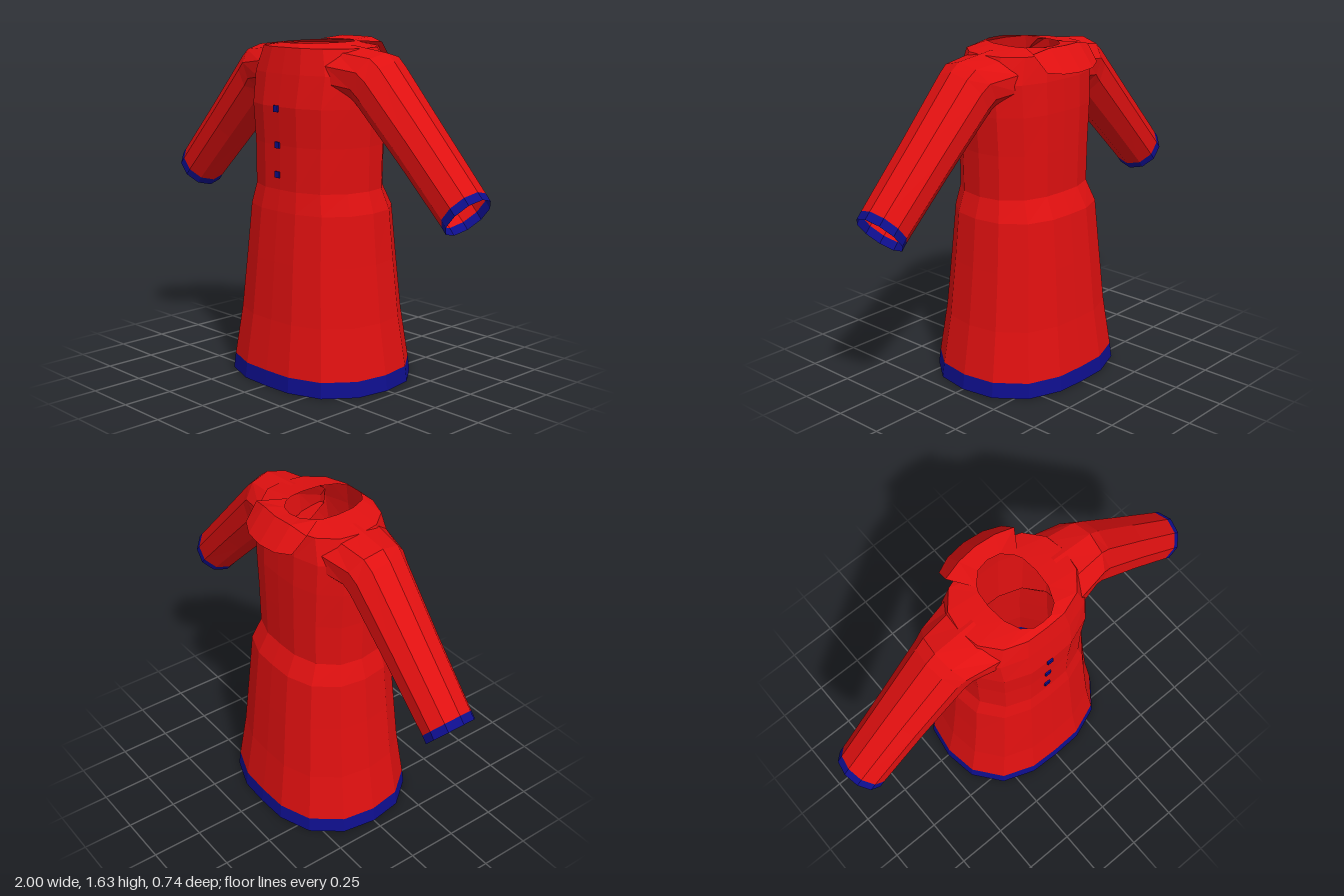
import * as THREE from 'three';

const V = (x, y, z) => new THREE.Vector3(x, y, z);

function material(name, color) {
  const m = new THREE.MeshStandardMaterial({ color, flatShading: true, side: THREE.DoubleSide });
  m.name = name;
  return m;
}

// Skin a surface over a list of point rows; closed rows wrap round
function loft(rows, closed = true) {
  const pos = [];
  const n = rows[0].length;
  for (let r = 0; r + 1 < rows.length; r++) {
    for (let i = 0; i < (closed ? n : n - 1); i++) {
      const j = (i + 1) % n;
      const [a, b, c, d] = [rows[r][i], rows[r][j], rows[r + 1][j], rows[r + 1][i]];
      for (const p of [a, b, c, a, c, d]) pos.push(p.x, p.y, p.z);
    }
  }
  const g = new THREE.BufferGeometry();
  g.setAttribute('position', new THREE.Float32BufferAttribute(pos, 3));
  g.computeVertexNormals();
  return g;
}

// Sixteen-sided horizontal section, flatter at the front and back than an ellipse
const quarter = [[0, 1], [0.34, 0.985], [0.7, 0.82], [0.94, 0.45], [1, 0]];
const half = [...quarter, ...quarter.slice(0, 4).reverse().map(([x, z]) => [x, -z])];
const section = [...half, ...half.slice(1, 8).reverse().map(([x, z]) => [-x, z])];

function bodyRing([y, hx, front, back]) {
  return section.map(([x, z]) => V(x * hx, y, z * (z > 0 ? front : back)));
}

// Ring between a top and a bottom point, s = +1 left, -1 right
function sleeveRing([tx, ty, bx, by, zc, rz], s) {
  const ring = [];
  for (let i = 0; i < 10; i++) {
    const a = (i / 10) * Math.PI * 2;
    const k = Math.cos(a);
    ring.push(V(
      s * ((tx + bx) / 2 + (k * (tx - bx)) / 2),
      (ty + by) / 2 + (k * (ty - by)) / 2,
      zc + rz * Math.sin(a) * 1.05));
  }
  return s < 0 ? ring.reverse() : ring;
}

export function createModel() {
  const model = new THREE.Group();
  model.name = 'coat';
  const red = material('red cloth', 0xe01010);
  const navy = material('navy trim', 0x0e0e8c);
  const add = (name, geometry, mat) => {
    const mesh = new THREE.Mesh(geometry, mat);
    mesh.name = name;
    model.add(mesh);
    return mesh;
  };

  // Skirt, waist, chest and shoulders up to the neck opening: y, half width, front, back
  const profile = [
    [0, 0.45, 0.37, 0.37],
    [0.075, 0.44, 0.362, 0.362],
    [0.32, 0.4, 0.33, 0.33],
    [0.6, 0.37, 0.307, 0.307],
    [0.84, 0.35, 0.285, 0.285],
    [0.94, 0.318, 0.268, 0.235],
    [1.15, 0.322, 0.267, 0.238],
    [1.33, 0.335, 0.275, 0.24],
    [1.48, 0.34, 0.25, 0.235],
    [1.6, 0.29, 0.225, 0.22],
    [1.62, 0.13, 0.2, 0.17],
  ].map(bodyRing);
  add('hemBand', loft(profile.slice(0, 2)), navy);
  add('body', loft(profile.slice(1)), red);

  // Sleeves and cuffs: top x, y, bottom x, y, centre z, half depth
  const sleeve = [
    [0.22, 1.612, 0.24, 1.36, 0.01, 0.185],
    [0.43, 1.588, 0.31, 1.345, 0.01, 0.152],
    [0.48, 1.55, 0.345, 1.305, 0.01, 0.142],
    [0.72, 1.295, 0.575, 1.09, 0.01, 0.128],
    [0.972, 1.03, 0.822, 0.85, 0.012, 0.118],
    [1, 1, 0.848, 0.82, 0.012, 0.118],
  ];
  for (const [side, s] of [['left', 1], ['right', -1]]) {
    const rings = sleeve.map((r) => sleeveRing(r, s));
    add(side + 'Sleeve', loft(rings.slice(0, 5)), red);
    add(side + 'Cuff', loft(rings.slice(4)), navy);
  }

  // Collar flap turned down behind the neck: rows of x, y, z for one half
  const collar = [
    [[0, 1.622, -0.168], [0.06, 1.622, -0.155], [0.115, 1.622, -0.1]],
    [[0, 1.635, -0.245], [0.1, 1.635, -0.235], [0.19, 1.615, -0.215]],
    [[0, 1.525, -0.335], [0.1, 1.528, -0.322], [0.175, 1.54, -0.285]],
  ].map((row) => [
    ...row.slice(1).reverse().map(([x, y, z]) => V(-x, y, z)),
    ...row.map((p) => V(...p)),
  ]);
  add('collarFlap', loft(collar, false), red);

  // Three small buttons down the chest
  for (const [y, z] of [[1.32, 0.277], [1.15, 0.27], [1.01, 0.27]]) {
    add('button', new THREE.BoxGeometry(0.03, 0.03, 0.009), navy).position.set(-0.015, y, z);
  }
  return model;
}
